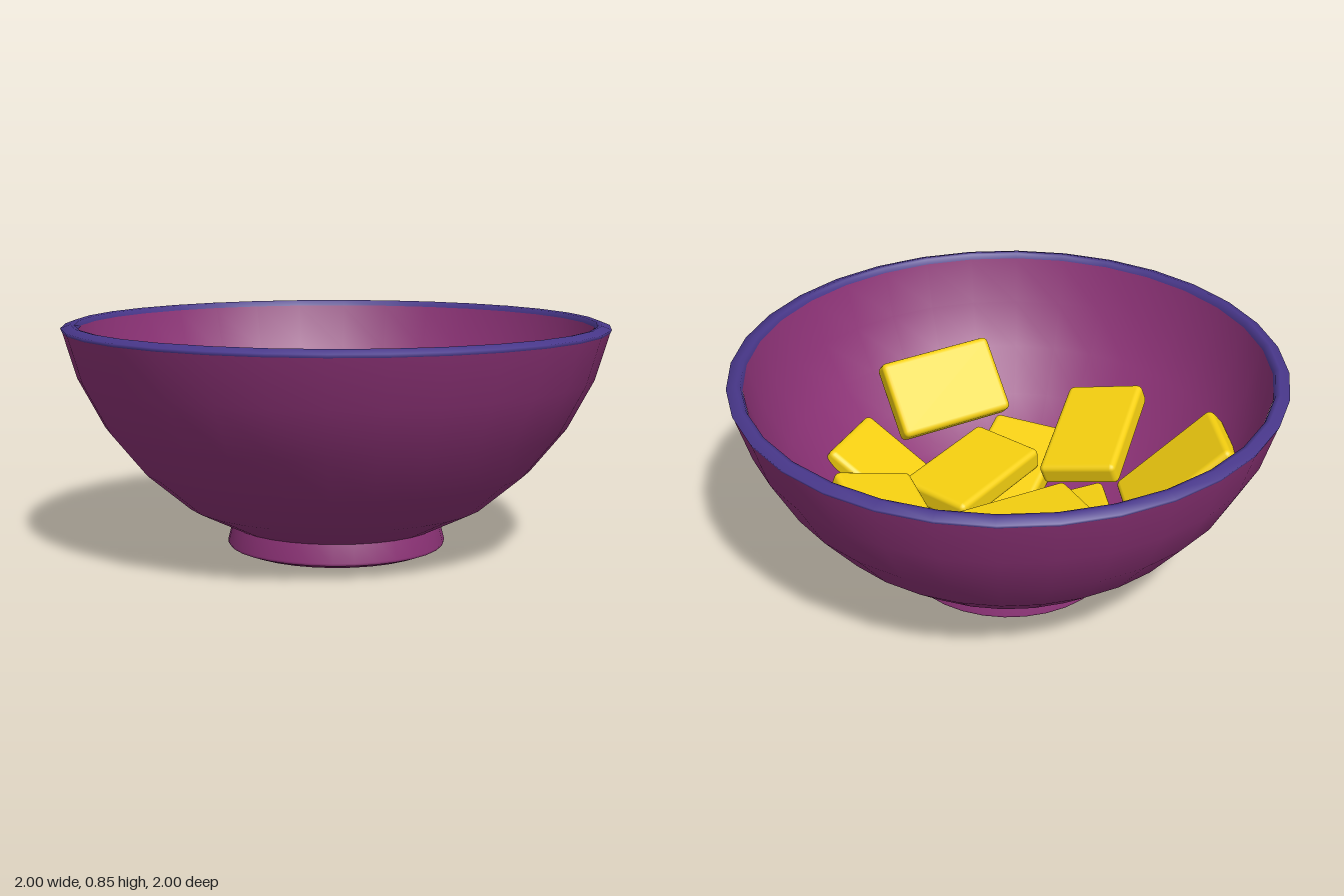
import * as THREE from 'three';
import { RoundedBoxGeometry } from 'three/addons/geometries/RoundedBoxGeometry.js';

const SIDES = 32;
const BAR = { length: 0.465, thickness: 0.09, width: 0.31 };

function lathe(name, profile, material) {
  const points = profile.map(([r, y]) => new THREE.Vector2(r, y));
  const mesh = new THREE.Mesh(new THREE.LatheGeometry(points, SIDES), material);
  mesh.name = name;
  return mesh;
}

// Places a bar by the centre of its top face, its heading and its two slopes
function placeBar(mesh, [x, y, z, degrees, longSlope, shortSlope]) {
  const a = THREE.MathUtils.degToRad(degrees);
  const along = new THREE.Vector3(Math.cos(a), longSlope, Math.sin(a)).normalize();
  const across = new THREE.Vector3(-Math.sin(a), shortSlope, Math.cos(a));
  const up = across.cross(along).normalize();
  const side = along.clone().cross(up);
  mesh.quaternion.setFromRotationMatrix(new THREE.Matrix4().makeBasis(along, up, side));
  mesh.position.set(x, y, z).addScaledVector(up, -BAR.thickness / 2);
}

export function createModel() {
  const model = new THREE.Group();
  model.name = 'bowlOfBars';
  const purple = new THREE.MeshStandardMaterial({ color: 0x8c3276 });
  const blue = new THREE.MeshStandardMaterial({ color: 0x48378a });
  const yellow = new THREE.MeshStandardMaterial({ color: 0xf5d010 });

  // Bowl: foot, outer wall, rim and inner wall
  model.add(
    lathe('footBase', [[0, 0], [0.355, 0.008], [0.4, 0.025]], purple),
    lathe('foot', [[0.4, 0.025], [0.405, 0.035], [0.387, 0.105]], purple),
    lathe('outerWall', [[0.387, 0.1], [0.56, 0.185], [0.72, 0.32], [0.85, 0.48], [0.945, 0.66], [0.995, 0.83]], purple),
    lathe('rim', [[0.995, 0.828], [1, 0.84], [0.965, 0.853], [0.95, 0.85], [0.943, 0.83]], blue),
    lathe('innerWall', [[0.943, 0.832], [0.895, 0.66], [0.805, 0.5], [0.68, 0.35], [0.53, 0.225], [0.34, 0.13], [0, 0.09]], purple),
  );

  // Loose bars: x, y, z, heading, slope along, slope across
  const bars = [
    [0.245, 0.415, -0.43, 40.5, 0.18, -0.32],
    [-0.265, 0.37, -0.43, 41.5, -0.88, -0.1],
    [-0.13, 0.315, -0.115, 129, 0.01, 0.05],
    [0.21, 0.315, 0.11, 104, 0.07, 0],
    [-0.16, 0.414, 0.417, 82.8, 0.28, 0.25],
    [-0.55, 0.43, 0.235, 148.5, 0.87, 0],
    [0.47, 0.29, -0.016, 0, 0.63, 0],
    [0.444, 0.465, 0.386, -52, -0.03, 1.12],
    [0.13, 0.24, 0.29, 90, 0.35, 0],
    [-0.24, 0.2, 0.06, 57.4, 0, 0.2],
    [-0.01, 0.2, -0.145, 130.6, -0.15, 0],
    [0.05, 0.16, 0.04, 62, 0, 0],
  ];
  const barGeometry = new RoundedBoxGeometry(BAR.length, BAR.thickness, BAR.width, 2, 0.022);
  const pile = new THREE.Group();
  pile.name = 'bars';
  bars.forEach((placement, i) => {
    const bar = new THREE.Mesh(barGeometry, yellow);
    bar.name = `bar${i + 1}`;
    placeBar(bar, placement);
    pile.add(bar);
  });
  model.add(pile);
  return model;
}
